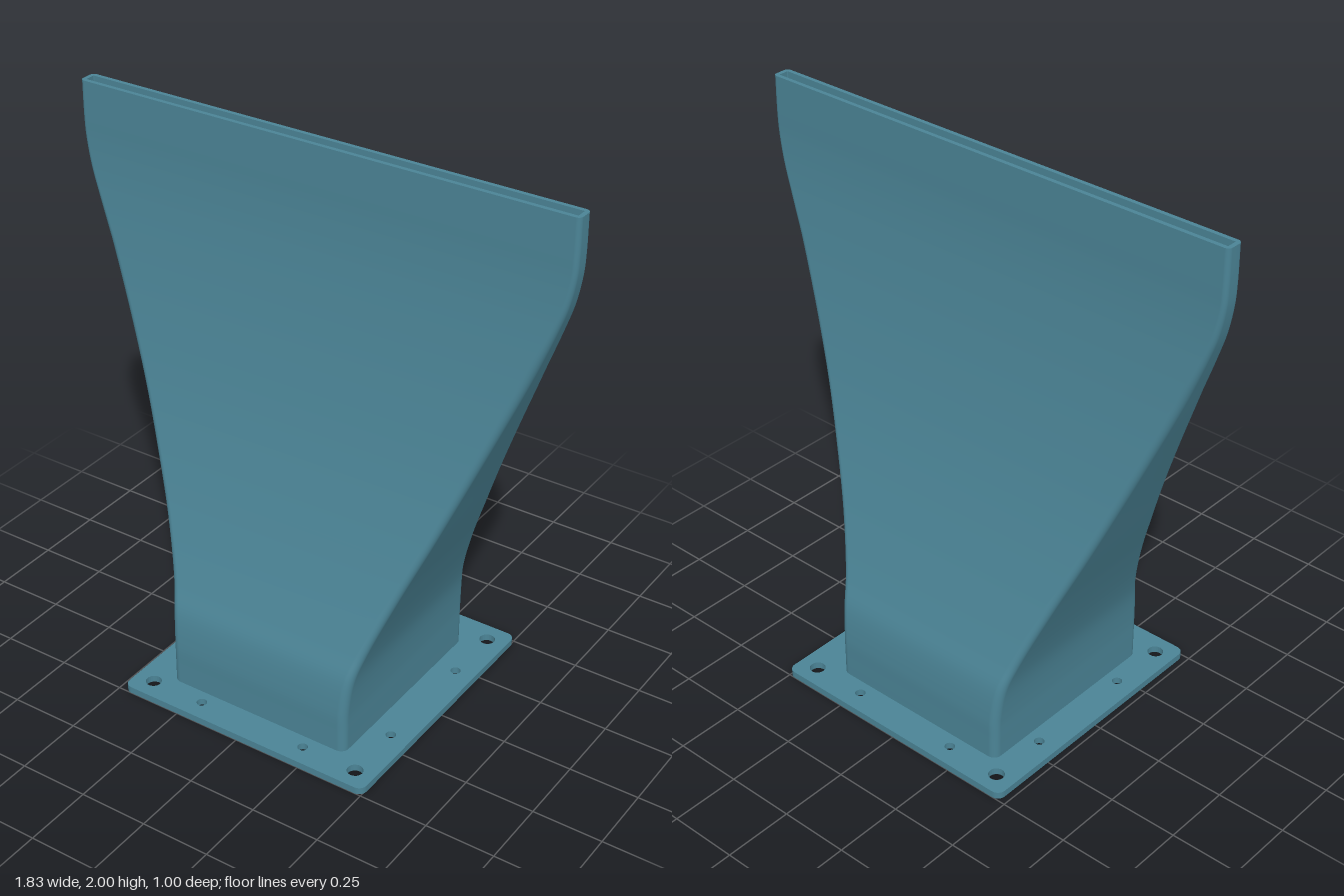
import * as THREE from 'three';

const BASE_T = 0.025; // flange thickness
const WALL = 0.015;   // duct wall

// outer half sizes of the duct: height, half width, half depth
const SECTIONS = [
  [0.025, 0.355, 0.38], [0.1, 0.355, 0.38], [0.18, 0.356, 0.379], [0.3, 0.367, 0.363],
  [0.4, 0.392, 0.326], [0.6, 0.463, 0.256], [0.8, 0.543, 0.195], [1.0, 0.622, 0.143],
  [1.2, 0.702, 0.102], [1.4, 0.782, 0.069], [1.6, 0.858, 0.045], [1.7, 0.891, 0.037],
  [1.8, 0.91, 0.033], [1.87, 0.914, 0.033], [2, 0.914, 0.033],
];

// rounded rectangle ring, counter-clockwise seen from above
function ring(hx, hz, y, r, seg = 6) {
  const pts = [];
  [[1, 1], [-1, 1], [-1, -1], [1, -1]].forEach(([sx, sz], q) => {
    for (let i = 0; i <= seg; i++) {
      const a = (q + i / seg) * Math.PI / 2;
      pts.push(sx * (hx - r) + r * Math.cos(a), y, -(sz * (hz - r) + r * Math.sin(a)));
    }
  });
  return pts;
}

// skin a list of equal rings
function loft(rings) {
  const n = rings[0].length / 3;
  const index = [];
  for (let j = 0; j < rings.length - 1; j++) {
    for (let i = 0; i < n; i++) {
      const a = j * n + i, b = j * n + (i + 1) % n;
      index.push(a, b, b + n, a, b + n, a + n);
    }
  }
  const g = new THREE.BufferGeometry();
  g.setAttribute('position', new THREE.Float32BufferAttribute(rings.flat(), 3));
  g.setIndex(index);
  g.computeVertexNormals();
  return g;
}

// rounded rectangle outline for the flange
function roundedRect(path, x0, x1, h, r) {
  path.absarc(x1 - r, h - r, r, 0, Math.PI / 2);
  path.absarc(x0 + r, h - r, r, Math.PI / 2, Math.PI);
  path.absarc(x0 + r, -h + r, r, Math.PI, Math.PI * 1.5);
  path.absarc(x1 - r, -h + r, r, Math.PI * 1.5, Math.PI * 2);
  path.closePath();
  return path;
}

export function createModel() {
  const model = new THREE.Group();
  model.name = 'ductHood';
  const paint = new THREE.MeshStandardMaterial({ color: 0x4b8496 });
  paint.name = 'tealPaint';
  const add = (name, geometry) => {
    const mesh = new THREE.Mesh(geometry, paint);
    mesh.name = name;
    model.add(mesh);
  };

  // duct: square inlet blending into a wide, thin slot
  const curve = new THREE.CatmullRomCurve3(
    SECTIONS.map(([y, hx, hz]) => new THREE.Vector3(hx, y, hz)));
  const outer = [], inner = [];
  for (const p of curve.getPoints(84)) {
    const r = Math.min(0.03, p.z * 0.5);
    outer.push(ring(p.x, p.z, p.y, r));
    inner.push(ring(p.x - WALL, p.z - WALL, p.y, Math.max(r - WALL, 0.003)));
  }
  add('ductOuterWall', loft(outer));
  add('ductInnerWall', loft(inner.slice().reverse()));
  add('slotRim', loft([outer.at(-1), inner.at(-1)]));

  // mounting flange with inlet opening and bolt holes
  const plate = roundedRect(new THREE.Shape(), -0.477, 0.505, 0.5, 0.03);
  plate.holes.push(roundedRect(new THREE.Path(), -0.34, 0.34, 0.365, 0.015));
  const drill = (x, z, r) =>
    plate.holes.push(new THREE.Path().absarc(x, z, r, 0, Math.PI * 2));
  for (const s of [-1, 1]) {
    for (const x of [-0.404, 0.432]) {
      drill(x, s * 0.428, 0.028);
      drill(x, s * 0.21, 0.018);
    }
    for (const x of [-0.196, 0.223]) drill(x, s * 0.428, 0.018);
  }
  const flange = new THREE.ExtrudeGeometry(plate,
    { depth: BASE_T, bevelEnabled: false, curveSegments: 12 });
  flange.rotateX(-Math.PI / 2);
  add('mountingFlange', flange);

  return model;
}
